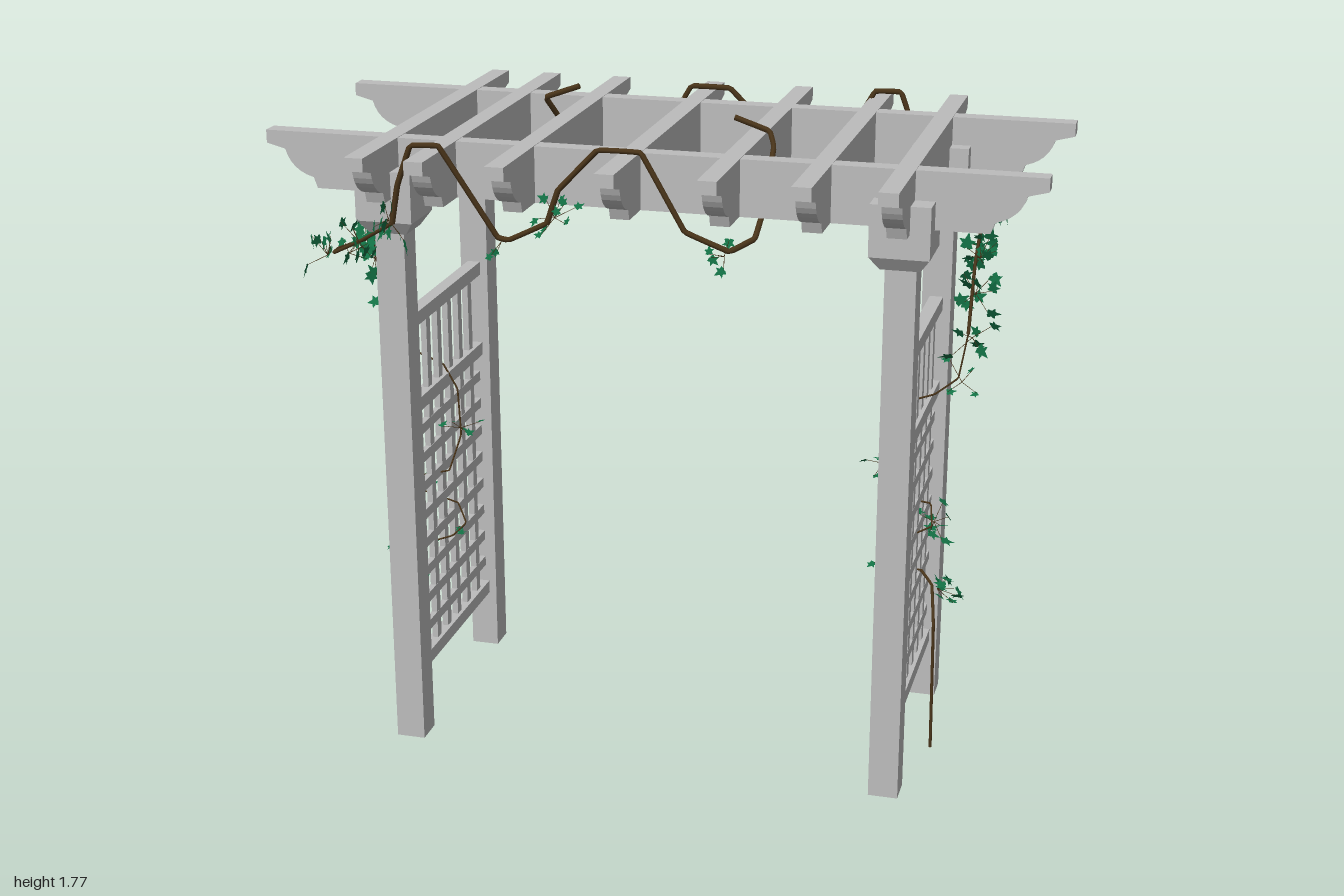
import * as THREE from 'three';
import { mergeGeometries } from 'three/addons/utils/BufferGeometryUtils.js';

const grey = new THREE.MeshStandardMaterial({ name: 'paintedWood', color: 0xbcbcbc });
const brown = new THREE.MeshStandardMaterial({ name: 'vineBark', color: 0x4a351a });
const green = new THREE.MeshStandardMaterial({ name: 'ivyGreen', color: 0x127044, side: THREE.DoubleSide });

const V = (a) => new THREE.Vector3(...a);

function add(parent, name, geometry, material, x = 0, y = 0, z = 0) {
  const mesh = new THREE.Mesh(geometry, material);
  mesh.name = name;
  mesh.position.set(x, y, z);
  parent.add(mesh);
  return mesh;
}

function box(parent, name, w, h, d, x, y, z) {
  return add(parent, name, new THREE.BoxGeometry(w, h, d), grey, x, y, z);
}

// Plank on edge with scrolled ends, running along x, centred on z
function scrolledPlank(half, width) {
  const s = new THREE.Shape();
  s.moveTo(-half, 1.707);
  s.lineTo(-half, 1.673);
  s.lineTo(-half + 0.05, 1.66);
  s.quadraticCurveTo(-half + 0.065, 1.605, -half + 0.125, 1.59);
  s.lineTo(-half + 0.135, 1.562);
  s.lineTo(half - 0.135, 1.562);
  s.lineTo(half - 0.125, 1.59);
  s.quadraticCurveTo(half - 0.065, 1.605, half - 0.05, 1.66);
  s.lineTo(half, 1.673);
  s.lineTo(half, 1.707);
  const g = new THREE.ExtrudeGeometry(s, { depth: width, bevelEnabled: false, curveSegments: 6 });
  return g.translate(0, 0, -width / 2);
}

// Square post with a block capital tapering into it
function post(parent, x, z) {
  const g = new THREE.Group();
  g.name = 'post';
  box(g, 'postShaft', 0.078, 1.505, 0.078, 0, 0.7775, 0);
  box(g, 'capitalBlock', 0.15, 0.132, 0.15, 0, 1.567, 0);
  const taper = new THREE.CylinderGeometry(0.075 * Math.SQRT2, 0.05 * Math.SQRT2, 0.036, 4).toNonIndexed();
  taper.rotateY(Math.PI / 4);
  taper.computeVertexNormals();
  add(g, 'capitalTaper', taper, grey, 0, 1.484, 0);
  g.position.set(x, 0, z);
  parent.add(g);
}

// Trellis panel: three rails, uprights and cross slats
function trellis(parent, x) {
  const g = new THREE.Group();
  g.name = 'trellisPanel';
  for (const y of [1.197, 0.958, 0.212]) box(g, 'rail', 0.036, 0.037, 0.56, 0, y, 0);
  for (let i = 0; i < 6; i++) {
    box(g, 'upright', 0.016, 0.98, 0.028, 0, 0.705, 0.204 - i * 0.082);
  }
  for (let i = 1; i < 9; i++) {
    box(g, 'crossSlat', 0.017, 0.028, 0.56, 0, 0.212 + i * 0.0829, 0);
  }
  g.position.set(x, 0, -0.003);
  parent.add(g);
}

function stem(parent, name, points, radius) {
  const curve = new THREE.CatmullRomCurve3(points.map(V), false, 'catmullrom', 0.04);
  add(parent, name, new THREE.TubeGeometry(curve, points.length * 10, radius, 6), brown);
  // Close the two cut ends
  for (const [t, sign] of [[0, -1], [1, 1]]) {
    const cap = new THREE.CircleGeometry(radius, 6);
    const dir = curve.getTangent(t).multiplyScalar(sign);
    cap.applyQuaternion(new THREE.Quaternion().setFromUnitVectors(V([0, 0, 1]), dir));
    const p = curve.getPoint(t);
    add(parent, name + 'End', cap, brown, p.x, p.y, p.z);
  }
}

// Five-lobed ivy leaf, base at the origin, tip along +y
function leafGeometry() {
  const half = [[0.1, -0.1], [0.42, -0.02], [0.3, 0.25], [0.56, 0.5], [0.2, 0.52]];
  const pts = [[0, 0], ...half, [0, 1], ...half.map(([x, y]) => [-x, y]).reverse()];
  return new THREE.ShapeGeometry(new THREE.Shape(pts.map(([x, y]) => new THREE.Vector2(x, y))));
}

// Leaf clusters on twigs, grouped by the way they face: [x, y, z, leaf count]
const leafGroups = [
  { facing: [-0.4, 1, 0.3], size: 0.035, spots: [[-0.75, 0.46, 0.06, 9], [-0.735, 0.66, 0.05, 8]] },
  { facing: [0.1, 1, 0], size: 0.025, spots: [[-0.61, 0.54, 0.03, 2], [-0.6, 0.83, 0.01, 5], [-0.8, 1.08, 0, 4]] },
  { facing: [-0.2, 0.3, 1], size: 0.036, spots: [[-0.82, 1.2, 0.01, 6], [-0.82, 1.31, 0.04, 9], [-0.82, 1.39, 0.1, 10]] },
  { facing: [-1, 0.3, 0.2], size: 0.037, spots: [[-0.8, 1.42, 0.4, 8], [-0.7, 1.47, 0.43, 8], [-0.61, 1.54, 0.45, 11]] },
  { facing: [0, 0.7, 1], size: 0.026, spots: [[-0.81, 1.38, 0.24, 4], [-0.33, 1.49, 0.4, 2], [-0.19, 1.56, 0.4, 9], [0.24, 1.49, 0.39, 4]] },
];

function vine(seed, runnerEnd) {
  const g = new THREE.Group();
  g.name = 'climbingVine';
  // Trunk, weave through the trellis, then runner around the beam
  stem(g, 'vineTrunk', [[-0.757, 0, 0], [-0.752, 0.37, 0], [-0.735, 0.46, 0.06], [-0.7, 0.49, 0.085]], 0.0045);
  stem(g, 'vineWeave', [
    [-0.7, 0.49, 0.085], [-0.62, 0.51, 0.05], [-0.59, 0.54, 0.02], [-0.62, 0.59, 0],
    [-0.73, 0.64, 0.04], [-0.72, 0.69, 0.08], [-0.62, 0.71, 0.06], [-0.6, 0.8, 0.01], [-0.61, 0.93, 0],
    [-0.65, 1.0, 0], [-0.73, 1.03, 0], [-0.79, 1.08, 0], [-0.81, 1.2, 0.005],
  ], 0.0025);
  stem(g, 'vineShoot', [
    [-0.81, 1.2, 0.005], [-0.81, 1.37, 0.08], [-0.79, 1.415, 0.35], [-0.78, 1.42, 0.41],
    [-0.7, 1.46, 0.42], [-0.6, 1.52, 0.45],
  ], 0.0045);
  stem(g, 'vineRunner', [
    [-0.6, 1.52, 0.45], [-0.58, 1.62, 0.455], [-0.54, 1.725, 0.46], [-0.47, 1.725, 0.45], [-0.34, 1.49, 0.4],
    [-0.31, 1.485, 0.4], [-0.21, 1.535, 0.4], [-0.18, 1.62, 0.4], [-0.08, 1.725, 0.39], [0.03, 1.725, 0.39],
    [0.14, 1.535, 0.39], [0.25, 1.49, 0.38], ...runnerEnd,
  ], 0.0075);

  let state = seed;
  const rand = () => (state = (state * 16807) % 2147483647) / 2147483647;
  const jitter = (r) => V([0, 0, 0].map(() => (rand() * 2 - 1) * r));
  const leaf = leafGeometry();
  const leaves = [], twigs = [];
  for (const { facing, size, spots } of leafGroups) {
    for (const [x, y, z, count] of spots) {
      for (let i = 0; i < count; i++) {
        const dir = jitter(0.05);
        const length = dir.length();
        const tip = V([x, y - 0.01, z]).add(dir);
        const q = new THREE.Quaternion().setFromUnitVectors(V([0, 1, 0]), dir.normalize());
        const twig = new THREE.CylinderGeometry(0.0007, 0.001, length, 3);
        twigs.push(twig.translate(0, length / 2, 0).applyQuaternion(q).translate(x, y - 0.01, z));
        const s = size * (0.85 + rand() * 0.3);
        const normal = V(facing).normalize().add(jitter(0.5)).normalize();
        const turn = new THREE.Quaternion().setFromUnitVectors(V([0, 0, 1]), normal);
        leaves.push(leaf.clone().scale(s, s, s).rotateZ(rand() * Math.PI * 2)
          .applyQuaternion(turn).translate(tip.x, tip.y, tip.z));
      }
    }
  }
  add(g, 'vineTwigs', mergeGeometries(twigs), brown);
  add(g, 'vineLeaves', mergeGeometries(leaves), green);
  return g;
}

export function createModel() {
  const model = new THREE.Group();
  model.name = 'gardenArbor';

  // Posts and side panels
  for (const x of [-0.663, 0.656]) {
    for (const z of [-0.315, 0.306]) post(model, x, z);
    trellis(model, x);
  }

  // Two long beams and seven rafters lapped across them
  for (const z of [-0.305, 0.294]) add(model, 'beam', scrolledPlank(1, 0.048), grey, 0, 0, z);
  for (const x of [-0.665, -0.51, -0.303, -0.028, 0.224, 0.451, 0.656]) {
    const rafter = add(model, 'rafter', scrolledPlank(0.555, 0.049), grey, x, 0.001, 0);
    rafter.rotation.y = Math.PI / 2;
  }

  // One vine per side, the second turned half way round
  const vineA = vine(77, [[0.3, 1.51, 0.32], [0.305, 1.57, 0.24], [0.305, 1.7, 0.14], [0.29, 1.735, 0.122], [0.2, 1.765, 0.122]]);
  const vineB = vine(4321, [[0.29, 1.51, 0.33], [0.305, 1.56, 0.27], [0.34, 1.66, 0.18], [0.365, 1.73, 0.13], [0.27, 1.765, 0.13]]);
  vineA.position.x = -0.012;
  vineB.position.set(-0.03, 0, -0.01);
  vineB.rotation.y = Math.PI;
  model.add(vineA, vineB);
  return model;
}
